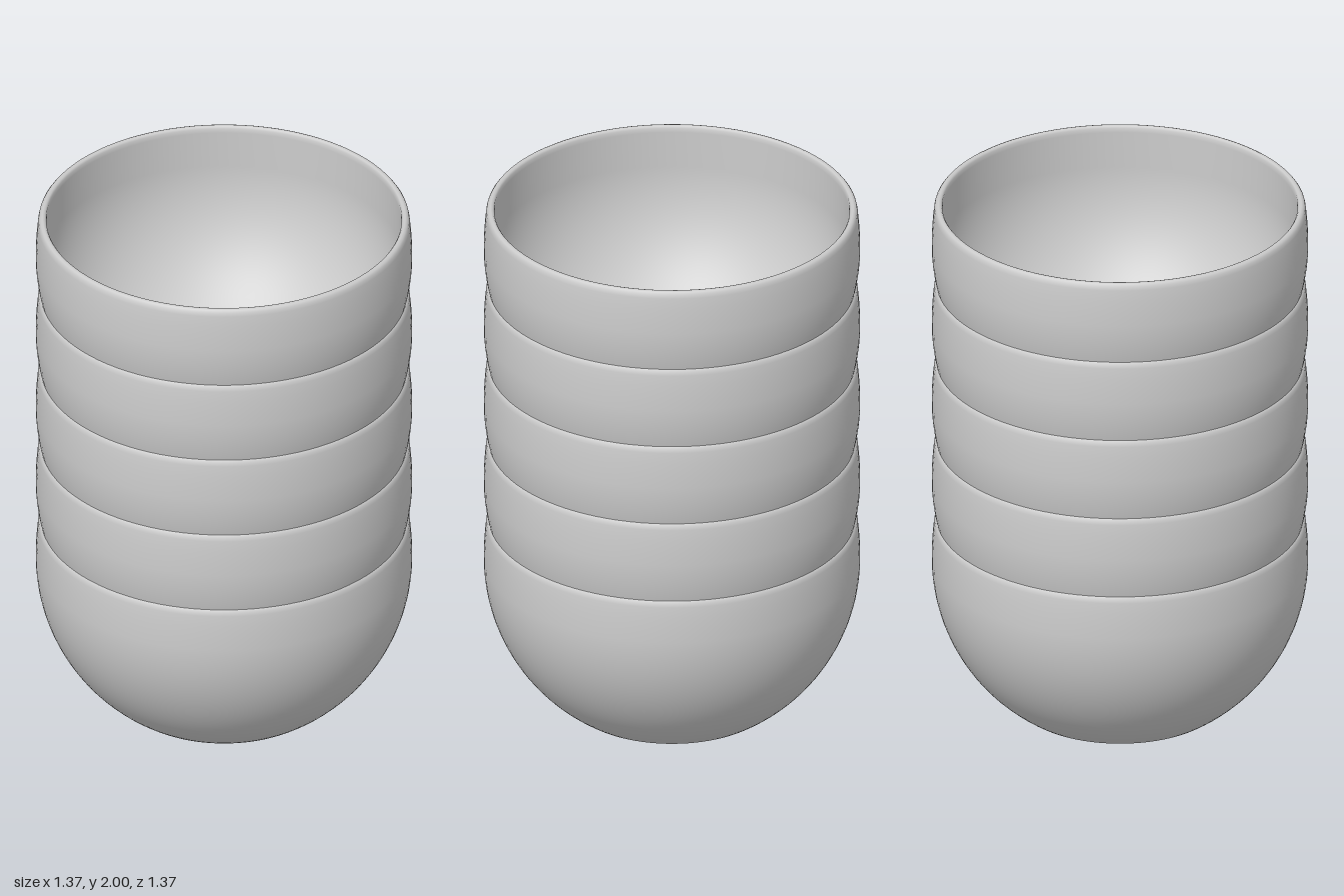
import * as THREE from 'three';

const HEIGHT = 0.735; // height of one bowl
const COUNT = 5;
const STEP = (2 - HEIGHT) / (COUNT - 1);
const CENTRE = 0.57; // height of the widest point
const OUTER = 0.685;
const INNER = 0.646;
const SEGMENTS = 96;

// Spherical arc in the profile plane, from height y0 to y1
function arc(radius, y0, y1, steps) {
  const a0 = Math.asin((y0 - CENTRE) / radius);
  const a1 = Math.asin((y1 - CENTRE) / radius);
  return Array.from({ length: steps + 1 }, (_, i) => {
    const a = a0 + (a1 - a0) * i / steps;
    return new THREE.Vector2(radius * Math.cos(a), CENTRE + radius * Math.sin(a));
  });
}

export function createModel() {
  const model = new THREE.Group();
  model.name = 'bowlStack';
  const material = new THREE.MeshStandardMaterial({ color: 0xcccccc });

  // Wall: round outside, softly rounded rim, round inside, flat floor
  const rim = [[0.684, 0.62], [0.681, 0.67], [0.677, 0.71], [0.674, 0.724], [0.668, 0.732],
    [0.66, 0.735], [0.652, 0.733], [0.647, 0.726], [0.646, 0.71]]
    .map(([x, y]) => new THREE.Vector2(x, y));
  const profile = [
    ...arc(OUTER, 0, CENTRE, 24),
    ...rim,
    ...arc(INNER, CENTRE, 0.04, 24),
    new THREE.Vector2(0.33, 0.04),
    new THREE.Vector2(0, 0.04),
  ];
  const wallGeometry = new THREE.LatheGeometry(profile, SEGMENTS);

  // Flat underside with a crisp edge
  const baseGeometry = new THREE.CircleGeometry(profile[0].x, SEGMENTS);
  baseGeometry.rotateX(Math.PI / 2);

  // Nested bowls
  for (let i = 0; i < COUNT; i++) {
    const bowl = new THREE.Group();
    bowl.name = `bowl${i + 1}`;
    const wall = new THREE.Mesh(wallGeometry, material);
    wall.name = 'wall';
    const base = new THREE.Mesh(baseGeometry, material);
    base.name = 'base';
    bowl.add(wall, base);
    bowl.position.y = i * STEP;
    model.add(bowl);
  }
  return model;
}
